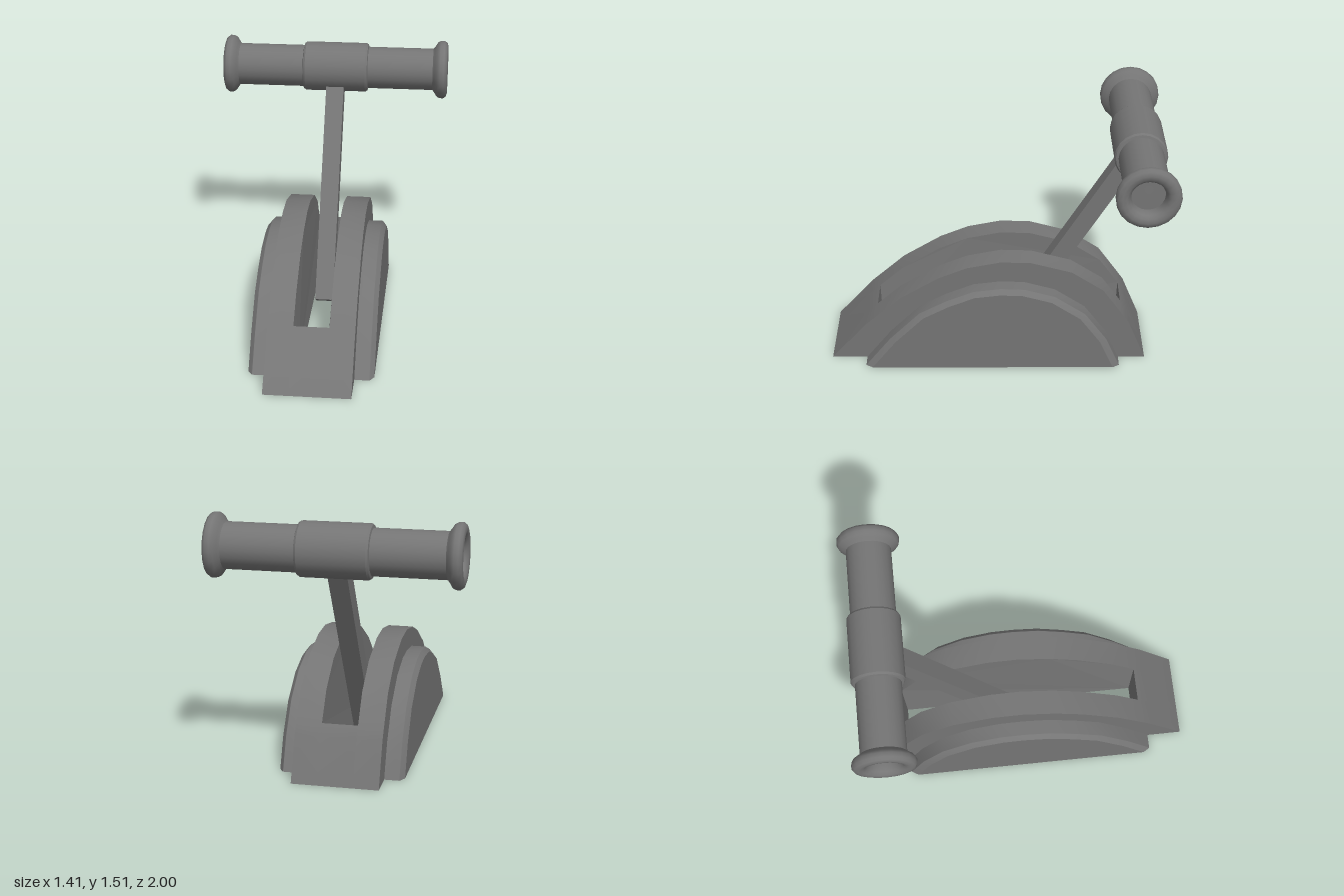
import * as THREE from 'three';

const flat = new THREE.MeshStandardMaterial({ color: 0x757575, flatShading: true, side: THREE.DoubleSide });
const smooth = new THREE.MeshStandardMaterial({ color: 0x757575, side: THREE.DoubleSide });

// Side profiles as [z, y]; the arch splits into front end, slotted middle and back end
const frontEnd = [[1, 0], [0.79, 0.235], [0.725, 0.292]];
const middle = [[0.725, 0.292], [0.58, 0.42], [0.35, 0.56], [0.18, 0.63], [-0.02, 0.67], [-0.2, 0.665],
  [-0.44, 0.6], [-0.63, 0.475], [-0.745, 0.315]];
const backEnd = [[-0.745, 0.315], [-0.79, 0.25], [-0.895, 0]];
const arch = [...frontEnd, ...middle.slice(1), ...backEnd.slice(1)];
const plate = [[0.79, 0], [0.64, 0.19], [0.46, 0.37], [0.3, 0.455], [0.14, 0.52], [-0.02, 0.54], [-0.16, 0.535],
  [-0.34, 0.485], [-0.52, 0.365], [-0.65, 0.19], [-0.735, 0]];

function add(parent, name, geometry, material) {
  const mesh = new THREE.Mesh(geometry, material);
  mesh.name = name;
  parent.add(mesh);
  return mesh;
}

// Shrinks a side profile towards the middle of its foot
const shrink = (points, s) => points.map(([z, y]) => [0.03 + (z - 0.03) * s, y * s]);

// Skin that follows a profile across layers of [x, scale]
function skin(points, layers) {
  const n = layers.length;
  const g = new THREE.PlaneGeometry(1, 1, n - 1, points.length - 1);
  const p = g.attributes.position;
  layers.forEach(([x, s], column) => {
    shrink(points, s).forEach(([z, y], row) => p.setXYZ(row * n + column, x, y, z));
  });
  g.computeVertexNormals();
  return g;
}

// Upright wall at x = -distance
function wall(points, distance) {
  const shape = new THREE.Shape(points.map(([z, y]) => new THREE.Vector2(z, y)));
  return new THREE.ShapeGeometry(shape).rotateY(-Math.PI / 2).translate(-distance, 0, 0);
}

// Narrows the slot towards its foot
function taper(g) {
  const p = g.attributes.position;
  for (let i = 0; i < p.count; i++) {
    p.setX(i, p.getX(i) * (0.78 + 0.22 * Math.min(1, p.getY(i) / 0.29)));
  }
  return g;
}

// One hollow side of the base, open underneath
function createSide(name) {
  const side = new THREE.Group();
  side.name = name;
  add(side, 'archTop', skin(arch, [[-0.103, 1], [-0.25, 1]]), smooth);
  add(side, 'archSide', wall([...arch, ...[...plate].reverse()], 0.25), flat);
  add(side, 'slotWall', taper(wall([[0.71, 0], ...middle, [-0.73, 0]], 0.103)), flat);
  add(side, 'sidePlateRim', skin(plate, [[-0.25, 1], [-0.335, 1], [-0.337, 1], [-0.362, 0.948]]), smooth);
  add(side, 'sidePlate', wall(shrink(plate, 0.948), 0.362), flat);
  return side;
}

// Half of the hand grip, turned around x, from the centre sleeve to the recessed end
function gripHalf() {
  const profile = [[0.153, 0], [0.153, 0.188], [0.145, 0.2], [0.13, 0.204], [0.13, 0.61], [0.145, 0.622],
    [0.17, 0.638], [0.18, 0.656], [0.18, 0.68], [0.168, 0.696], [0.145, 0.703], [0.12, 0.698],
    [0.103, 0.682], [0.095, 0.655], [0.095, 0.63], [0, 0.63]];
  const sharp = [1, 2, 3, 4, 14]; // doubled points keep these edges crisp
  const points = [];
  profile.forEach(([r, h], i) => {
    points.push(new THREE.Vector2(r, h));
    if (sharp.includes(i)) points.push(new THREE.Vector2(r, h + 0.0005 * (i === 14 ? -1 : 1)));
  });
  return new THREE.LatheGeometry(points, 20).rotateZ(-Math.PI / 2);
}

export function createModel() {
  const model = new THREE.Group();
  model.name = 'lever';

  // Slotted arch base
  const base = new THREE.Group();
  base.name = 'base';
  const right = createSide('rightSide');
  const left = createSide('leftSide');
  left.scale.x = -1;
  base.add(right, left);
  const slotWidth = [[0.103, 1], [-0.103, 1]];
  add(base, 'frontSlope', skin(frontEnd, slotWidth), smooth);
  add(base, 'backSlope', skin(backEnd, slotWidth), smooth);
  add(base, 'slotFrontWall', taper(skin([[0.725, 0.292], [0.71, 0]], slotWidth)), flat);
  add(base, 'slotBackWall', taper(skin([[-0.73, 0], [-0.745, 0.315]], slotWidth)), flat);
  model.add(base);

  // Leaning arm from inside the slot up to the grip
  const low = new THREE.Vector3(0, 0.062, -0.046);
  const high = new THREE.Vector3(0, 1.26, -0.781);
  const arm = add(model, 'arm', new THREE.BoxGeometry(0.11, low.distanceTo(high), 0.107), flat);
  arm.position.copy(low).add(high).multiplyScalar(0.5);
  arm.rotation.x = Math.atan2(high.z - low.z, high.y - low.y);

  // Crosswise hand grip
  const grip = new THREE.Group();
  grip.name = 'grip';
  for (const turn of [0, Math.PI]) {
    add(grip, turn ? 'rightGrip' : 'leftGrip', gripHalf(), smooth).rotation.y = turn;
  }
  grip.position.set(0, 1.33, -0.817);
  model.add(grip);

  return model;
}
